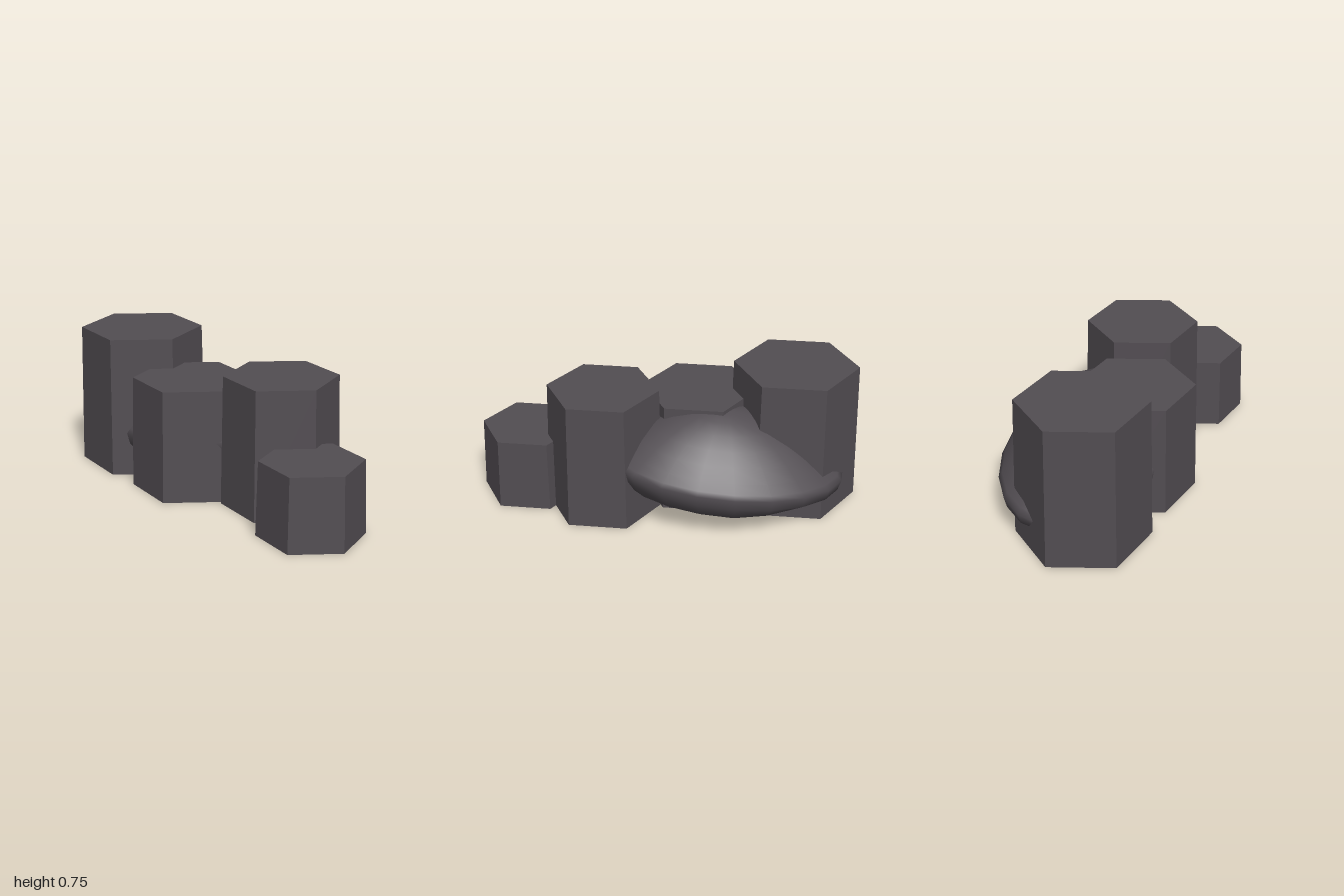
import * as THREE from 'three';

const stone = new THREE.MeshStandardMaterial({ color: 0x524d52 });
stone.name = 'dark basalt';

// Six-sided basalt column, slightly wider at the foot
function column(name, x, z, topRadius, height) {
  const geo = new THREE.CylinderGeometry(topRadius, topRadius * 1.045, height, 6).toNonIndexed();
  geo.rotateY(THREE.MathUtils.degToRad(18.5));
  geo.computeVertexNormals(); // crisp facets
  const mesh = new THREE.Mesh(geo, stone);
  mesh.name = name;
  mesh.position.set(x, height / 2, z);
  return mesh;
}

// Smooth boulder: flat-bottomed dome, stretched sideways and tilted up towards +x
function boulder() {
  const profile = [[0, -0.2], [0.5, -0.19], [0.88, -0.13], [0.97, -0.06], [1, 0]];
  for (const r of [0.96, 0.88, 0.76, 0.62, 0.46, 0.3, 0.15, 0]) profile.push([r, 0.315 * (1 - r * r)]);
  const geo = new THREE.LatheGeometry(profile.map(([r, y]) => new THREE.Vector2(r, y)), 20);
  geo.scale(0.63, 1, 0.41);
  const p = geo.attributes.position;
  for (let i = 0; i < p.count; i++) {
    p.setY(i, Math.max(p.getY(i) + 0.13 * p.getX(i), -0.135));
  }
  geo.computeVertexNormals();
  const mesh = new THREE.Mesh(geo, stone);
  mesh.name = 'boulder';
  mesh.position.set(-0.29, 0.265, -0.058);
  return mesh;
}

export function createModel() {
  const group = new THREE.Group();
  group.name = 'basaltColumns';
  group.add(
    column('tallColumn', -0.665, 0.066, 0.327, 0.755),
    column('middleColumn', -0.165, 0.16, 0.305, 0.595),
    column('secondColumn', 0.348, 0.022, 0.293, 0.683),
    column('shortColumn', 0.733, 0.211, 0.259, 0.385),
    boulder()
  );
  return group;
}
